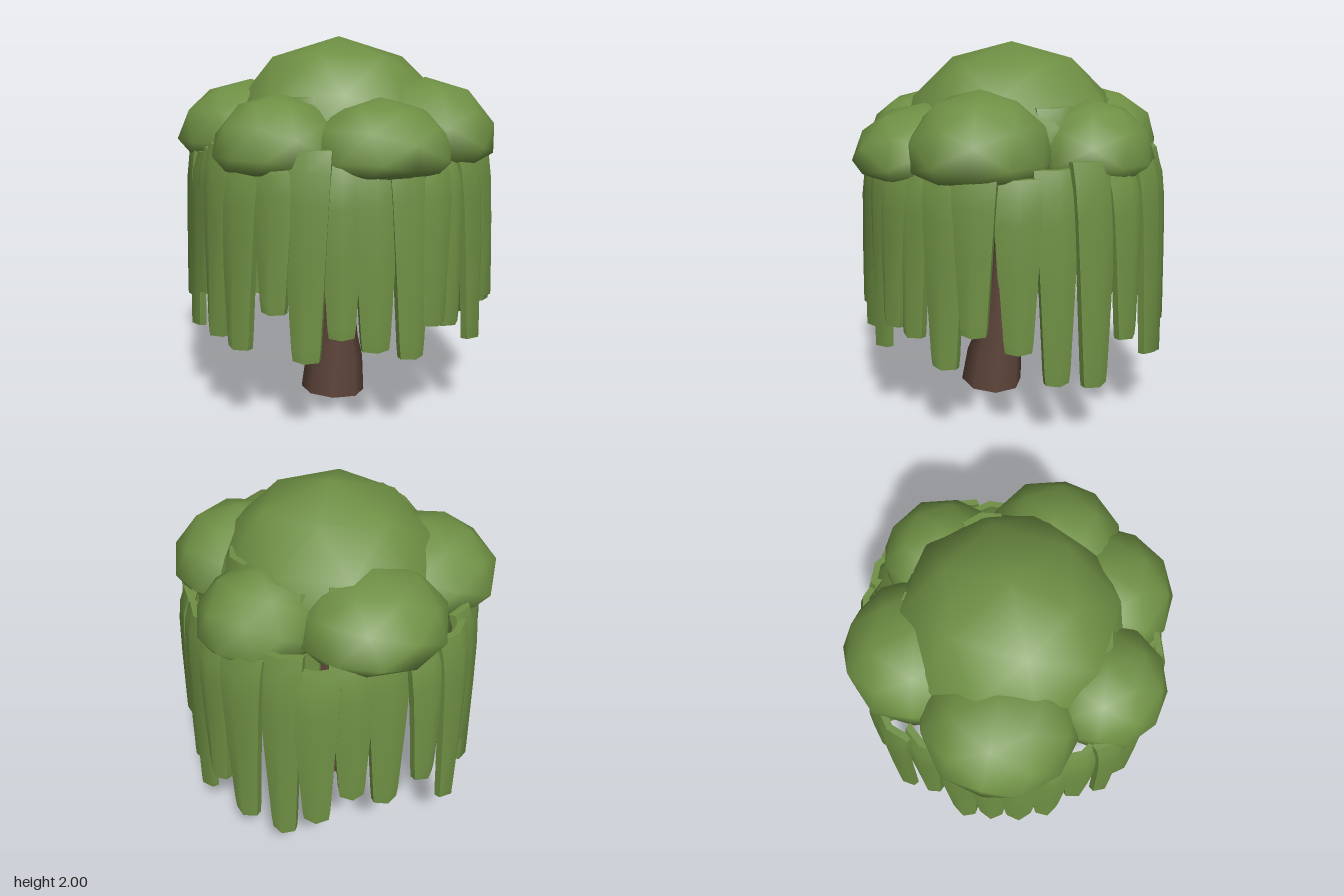
import * as THREE from 'three';
import { mergeVertices } from 'three/addons/utils/BufferGeometryUtils.js';

const leafGreen = new THREE.MeshStandardMaterial({ color: 0x6f9044, name: 'leafGreen' });
const barkBrown = new THREE.MeshStandardMaterial({ color: 0x5f463b, name: 'barkBrown' });

function addMesh(parent, name, geometry, material) {
  const mesh = new THREE.Mesh(geometry, material);
  mesh.name = name;
  parent.add(mesh);
  return mesh;
}

// Low-poly leaf mound: rounded on top, flattened underneath
function moundGeometry(radius, height) {
  const geo = new THREE.IcosahedronGeometry(1, 1);
  geo.deleteAttribute('normal');
  geo.deleteAttribute('uv');
  const p = geo.attributes.position;
  for (let i = 0; i < p.count; i++) {
    const y = p.getY(i);
    p.setXYZ(i, p.getX(i) * radius, y * height * (y < 0 ? 0.45 : 1), p.getZ(i) * radius);
  }
  const smooth = mergeVertices(geo, 1e-4);
  smooth.computeVertexNormals();
  return smooth;
}

// Hanging strand: folded across its width, leaning in at the top, narrowing below
function strandGeometry(top, bottom, topWidth) {
  const geo = new THREE.BoxGeometry(1, 1, 0.035, 2, 5, 1);
  const p = geo.attributes.position;
  const heights = [0, 0.1, 0.24, 0.5, 0.94, 1];
  const insets = [0.065, 0.035, 0.02, 0.01, 0, 0];
  const widths = [1, 1, 0.95, 0.83, 0.62, 0.56];
  for (let i = 0; i < p.count; i++) {
    const row = Math.round((0.5 - p.getY(i)) * 5);
    const across = p.getX(i);
    p.setXYZ(i,
      across * topWidth * widths[row],
      top + (bottom - top) * heights[row],
      p.getZ(i) - insets[row] - Math.abs(across) * 0.07);
  }
  geo.computeVertexNormals();
  return geo;
}

// Tapering limb through rows of [x, y, z, radius, sideways tilt]
function limbGeometry(rows, sides) {
  const geo = new THREE.CylinderGeometry(1, 1, 1, sides, rows.length - 1);
  const p = geo.attributes.position;
  for (let i = 0; i < p.count; i++) {
    const [x, y, z, r, tilt = 0] = rows[Math.round((p.getY(i) + 0.5) * (rows.length - 1))];
    p.setXYZ(i, x + p.getX(i) * r, y - p.getX(i) * tilt, z + p.getZ(i) * r);
  }
  return geo;
}

export function createModel() {
  const tree = new THREE.Group();
  tree.name = 'willowTree';

  // Leaning trunk with a flared foot
  addMesh(tree, 'trunk', limbGeometry([
    [-0.12, 0.018, 0.055, 0.178, 0.018], [-0.1, 0.215, 0.05, 0.16, 0.015],
    [-0.085, 0.33, 0.048, 0.125, 0.01], [-0.062, 0.58, 0.038, 0.09],
    [-0.015, 1.0, 0.04, 0.055], [-0.01, 1.35, 0.04, 0.035],
  ], 8), barkBrown);

  // Branches forking into the crown
  const branches = new THREE.Group();
  branches.name = 'branches';
  tree.add(branches);
  for (const [x, z] of [[-0.26, 0.3], [0.28, -0.24], [0.26, 0.26], [-0.22, -0.24]]) {
    addMesh(branches, 'branch', limbGeometry([
      [-0.015, 0.92, 0.035, 0.035], [x * 0.5, 1.15, z * 0.5, 0.035], [x, 1.42, z, 0.025],
    ], 6), barkBrown);
  }

  // Crown mounds: x, y, z, radius, height, turn
  const mounds = [
    [-0.01, 1.43, 0, 0.62, 0.57, 0.45],
    [-0.55, 1.42, 0.1, 0.34, 0.3, 0.1],
    [0.52, 1.43, 0.05, 0.33, 0.3, 0],
    [0.14, 1.45, 0.48, 0.38, 0.34, 0],
    [-0.22, 1.41, 0.48, 0.38, 0.29, 0.2],
    [-0.31, 1.45, -0.39, 0.41, 0.32, 0],
    [0.23, 1.44, -0.41, 0.4, 0.31, 0.15],
  ];
  const crown = new THREE.Group();
  crown.name = 'crown';
  tree.add(crown);
  for (const [x, y, z, r, h, turn] of mounds) {
    const mound = addMesh(crown, 'leafMound', moundGeometry(r, h), leafGreen);
    mound.position.set(x, y, z);
    mound.rotation.y = turn;
  }

  const strands = new THREE.Group();
  strands.name = 'hangingStrands';
  tree.add(strands);
  function addStrand(x, z, top, bottom, width) {
    const strand = addMesh(strands, 'strand', strandGeometry(top, bottom, width), leafGreen);
    strand.position.set(x, 0, z);
    strand.rotation.y = Math.atan2(x, z);
  }

  // Outer curtain: x, z, lower end
  const outer = [
    [-0.05, 0.83, 0.57], [0.16, 0.83, 0.45], [0.32, 0.79, 0.64], [0.5, 0.66, 0.55],
    [0.63, 0.5, 0.36], [0.76, 0.34, 0.33], [0.84, 0.16, 0.55], [0.87, -0.05, 0.41],
    [0.8, -0.25, 0.33], [0.73, -0.42, 0.45], [0.6, -0.56, 0.6], [0.43, -0.67, 0.49],
    [0.25, -0.8, 0.6], [0.06, -0.86, 0.35], [-0.14, -0.81, 0.6], [-0.34, -0.75, 0.28],
    [-0.5, -0.67, 0.5], [-0.63, -0.57, 0.57], [-0.72, -0.42, 0.45], [-0.79, -0.25, 0.68],
    [-0.86, -0.08, 0.5], [-0.86, 0.1, 0.47], [-0.8, 0.3, 0.68], [-0.72, 0.45, 0.45],
    [-0.6, 0.58, 0.57], [-0.47, 0.69, 0.5], [-0.31, 0.79, 0.45], [-0.19, 0.83, 0.6],
  ];
  outer.forEach(([x, z, bottom], i) =>
    addStrand(x, z, 1.4 + 0.035 * (i % 3), bottom, 0.22 + 0.015 * (i % 2)));

  // Shorter inner curtain, its tops tucked between the mounds
  const innerCount = 14;
  for (let i = 0; i < innerCount; i++) {
    const angle = (i + 0.3) / innerCount * Math.PI * 2;
    const r = 0.55 + 0.02 * (i % 3);
    addStrand(Math.sin(angle) * r, Math.cos(angle) * r,
      1.62 + 0.04 * (i % 3), 0.74 + 0.06 * (i % 4), 0.2);
  }

  return tree;
}
